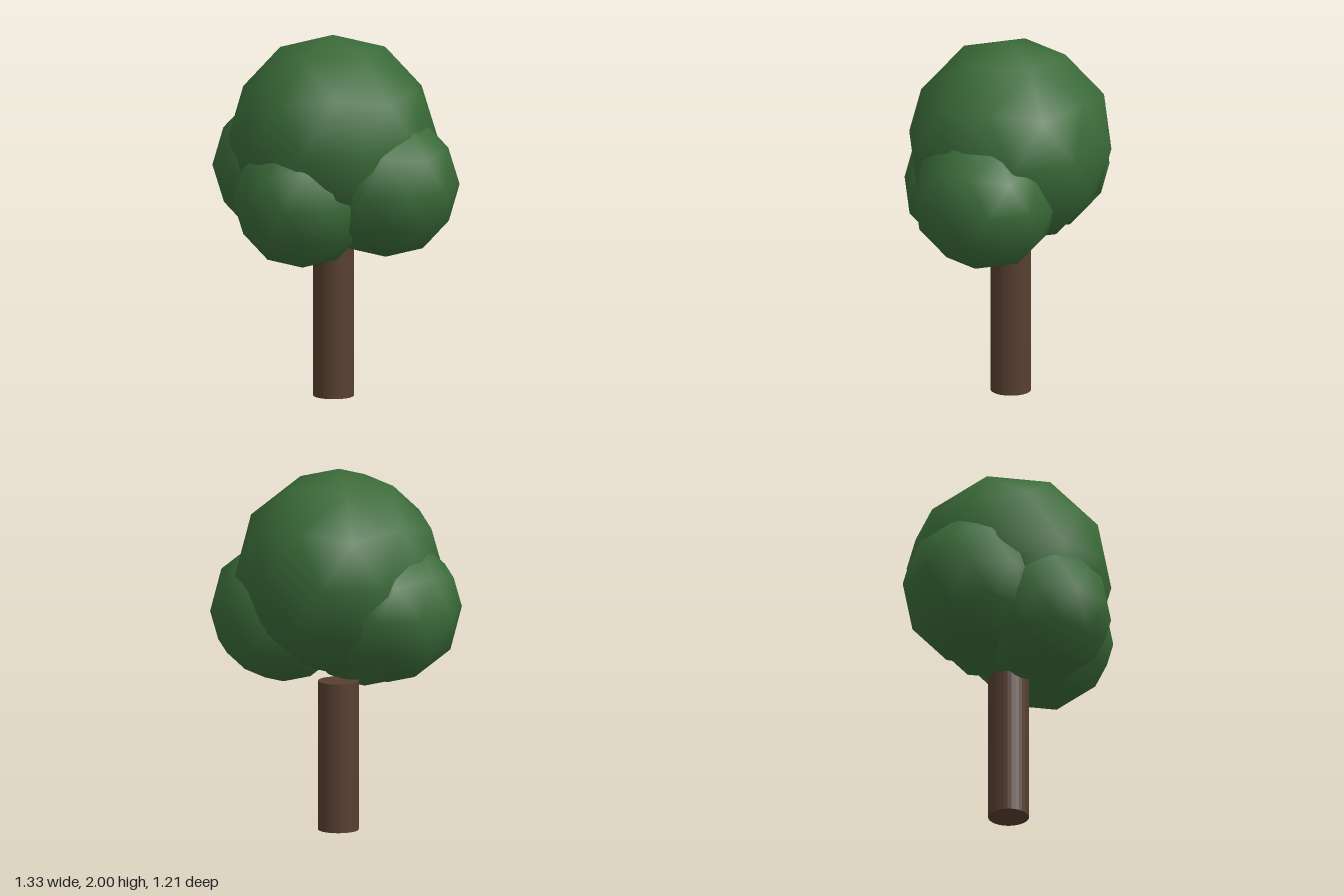
import * as THREE from 'three';

export function createModel() {
  const tree = new THREE.Group();
  tree.name = 'tree';

  const leafGreen = new THREE.MeshStandardMaterial({ color: 0x3a6a38 });
  leafGreen.name = 'leaf green';
  const barkBrown = new THREE.MeshStandardMaterial({ color: 0x573f30 });
  barkBrown.name = 'bark brown';

  // Trunk: faceted cylinder with closed ends
  const trunkHeight = 0.825;
  const trunkGeometry = new THREE.CylinderGeometry(0.111, 0.111, trunkHeight, 32).toNonIndexed();
  trunkGeometry.computeVertexNormals();
  const trunk = new THREE.Mesh(trunkGeometry, barkBrown);
  trunk.name = 'trunk';
  trunk.position.set(0, trunkHeight / 2, -0.04);
  tree.add(trunk);

  // Foliage: smooth icospheres, turned so that one corner points straight up
  const tilt = Math.atan(2 / (1 + Math.sqrt(5)));
  const foliage = new THREE.Group();
  foliage.name = 'foliage';
  const clumps = [
    ['mainClump', 0.57, 0, 1.43, -0.035],
    ['frontClump', 0.38, 0.063, 1.13, 0.22],
    ['rightClump', 0.41, -0.268, 1.25, 0.07],
    ['leftClump', 0.402, 0.287, 1.2, -0.178],
  ];
  for (const [name, radius, x, y, z] of clumps) {
    const clump = new THREE.Mesh(new THREE.IcosahedronGeometry(radius, 1).rotateZ(-tilt), leafGreen);
    clump.name = name;
    clump.position.set(x, y, z);
    foliage.add(clump);
  }
  tree.add(foliage);

  return tree;
}
